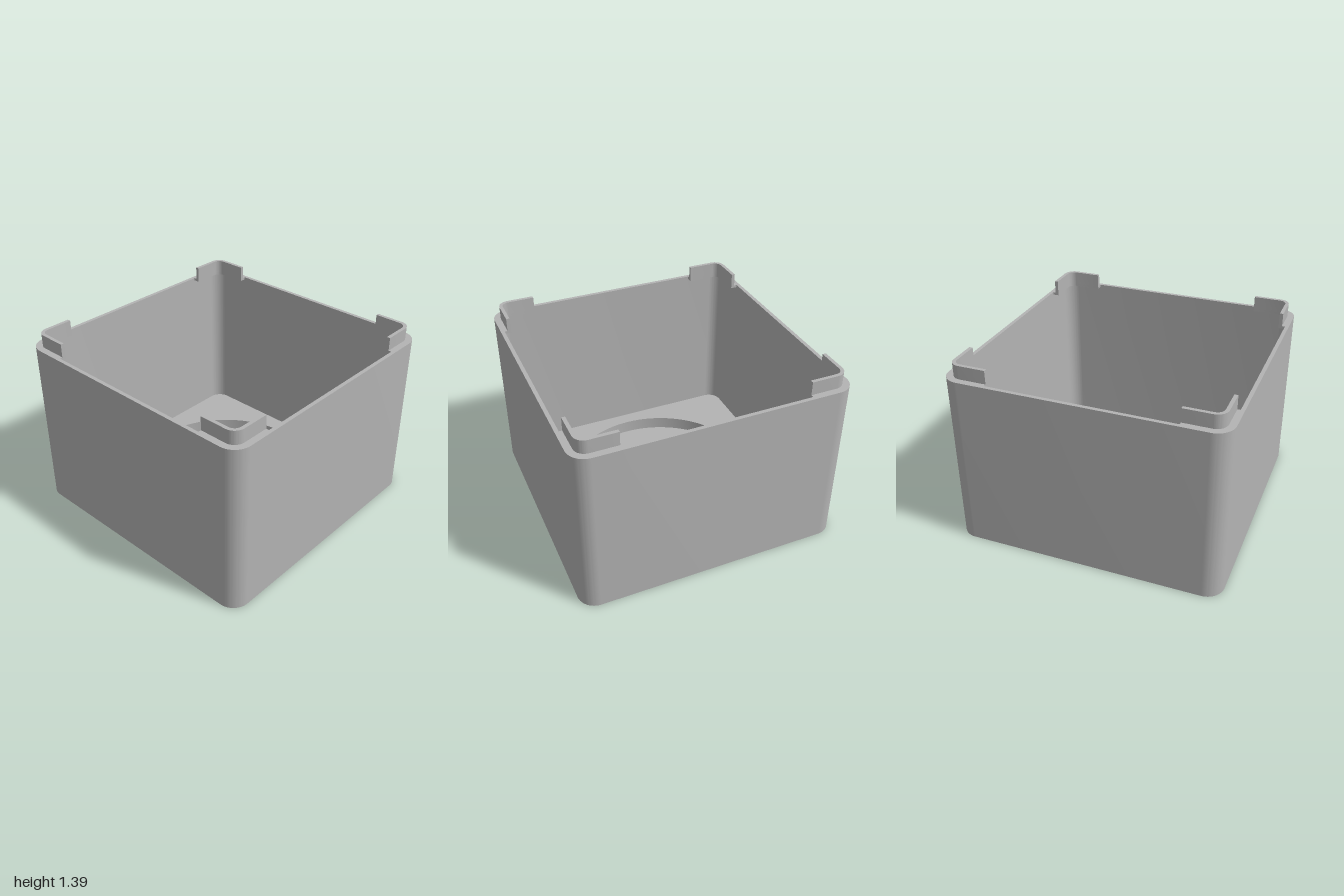
import * as THREE from 'three';
import { toCreasedNormals } from 'three/addons/utils/BufferGeometryUtils.js';

const HEIGHT = 1.29, FLOOR = 0.03, INNER = 0.972;

// Square outline with rounded corners, half-width h and corner radius r
function roundedSquare(h, r, Type = THREE.Shape) {
  const s = new Type();
  s.moveTo(-h + r, -h);
  s.lineTo(h - r, -h);
  s.absarc(h - r, -h + r, r, -Math.PI / 2, 0);
  s.lineTo(h, h - r);
  s.absarc(h - r, h - r, r, 0, Math.PI / 2);
  s.lineTo(-h + r, h);
  s.absarc(-h + r, h - r, r, Math.PI / 2, Math.PI);
  s.lineTo(-h, -h + r);
  s.absarc(-h + r, -h + r, r, Math.PI, Math.PI * 1.5);
  return s;
}

function circle(x, y, r, Type = THREE.Path) {
  return new Type().absarc(x, y, r, 0, Math.PI * 2);
}

// L-shaped corner strip between two offsets, ending at the cut line
function cornerStrip(outer, rOuter, inner, rInner, cut) {
  const s = new THREE.Shape();
  s.moveTo(outer, cut);
  s.lineTo(outer, outer - rOuter);
  s.absarc(outer - rOuter, outer - rOuter, rOuter, 0, Math.PI / 2);
  s.lineTo(cut, outer);
  s.lineTo(cut, inner);
  s.lineTo(inner - rInner, inner);
  s.absarc(inner - rInner, inner - rInner, rInner, Math.PI / 2, 0, true);
  s.lineTo(inner, cut);
  return s;
}

// Extrudes a plan outline upwards from y0 to y1
function slab(shape, y0, y1, segments = 12) {
  const g = new THREE.ExtrudeGeometry(shape, { depth: y1 - y0, bevelEnabled: false, curveSegments: segments });
  g.rotateX(-Math.PI / 2).translate(0, y0, 0);
  return toCreasedNormals(g, 0.6);
}

export function createModel() {
  const model = new THREE.Group();
  model.name = 'openBox';
  const grey = new THREE.MeshStandardMaterial({ color: 0xb3b3b3 });
  grey.name = 'plain grey';

  function add(name, geometry, parent = model) {
    const mesh = new THREE.Mesh(geometry, grey);
    mesh.name = name;
    parent.add(mesh);
  }

  // Thin outer walls
  const walls = roundedSquare(1, 0.13);
  walls.holes.push(roundedSquare(INNER, 0.102, THREE.Path));
  add('walls', slab(walls, 0, HEIGHT));

  // Floor with four screw holes
  const floor = roundedSquare(INNER, 0.102);
  for (const x of [-0.192, 0.192])
    for (const z of [-0.192, 0.192]) floor.holes.push(circle(x, z, 0.019));
  add('floor', slab(floor, 0, FLOOR));

  // Low locating ring on the floor
  const ring = circle(0, 0, 0.778, THREE.Shape);
  ring.holes.push(circle(0, 0, 0.733));
  add('floorRing', slab(ring, FLOOR, 0.13, 64));

  // Corner tabs for the lid, each joined to the wall by a small ledge
  const tab = slab(cornerStrip(0.95, 0.08, 0.924, 0.054, 0.672), HEIGHT, 1.39);
  const ledge = slab(cornerStrip(INNER, 0.102, 0.924, 0.054, 0.672), HEIGHT - 0.02, HEIGHT);
  for (let i = 0; i < 4; i++) {
    const corner = new THREE.Group();
    corner.name = 'cornerTab' + (i + 1);
    corner.rotation.y = i * Math.PI / 2;
    add('tab', tab, corner);
    add('ledge', ledge, corner);
    model.add(corner);
  }
  return model;
}
